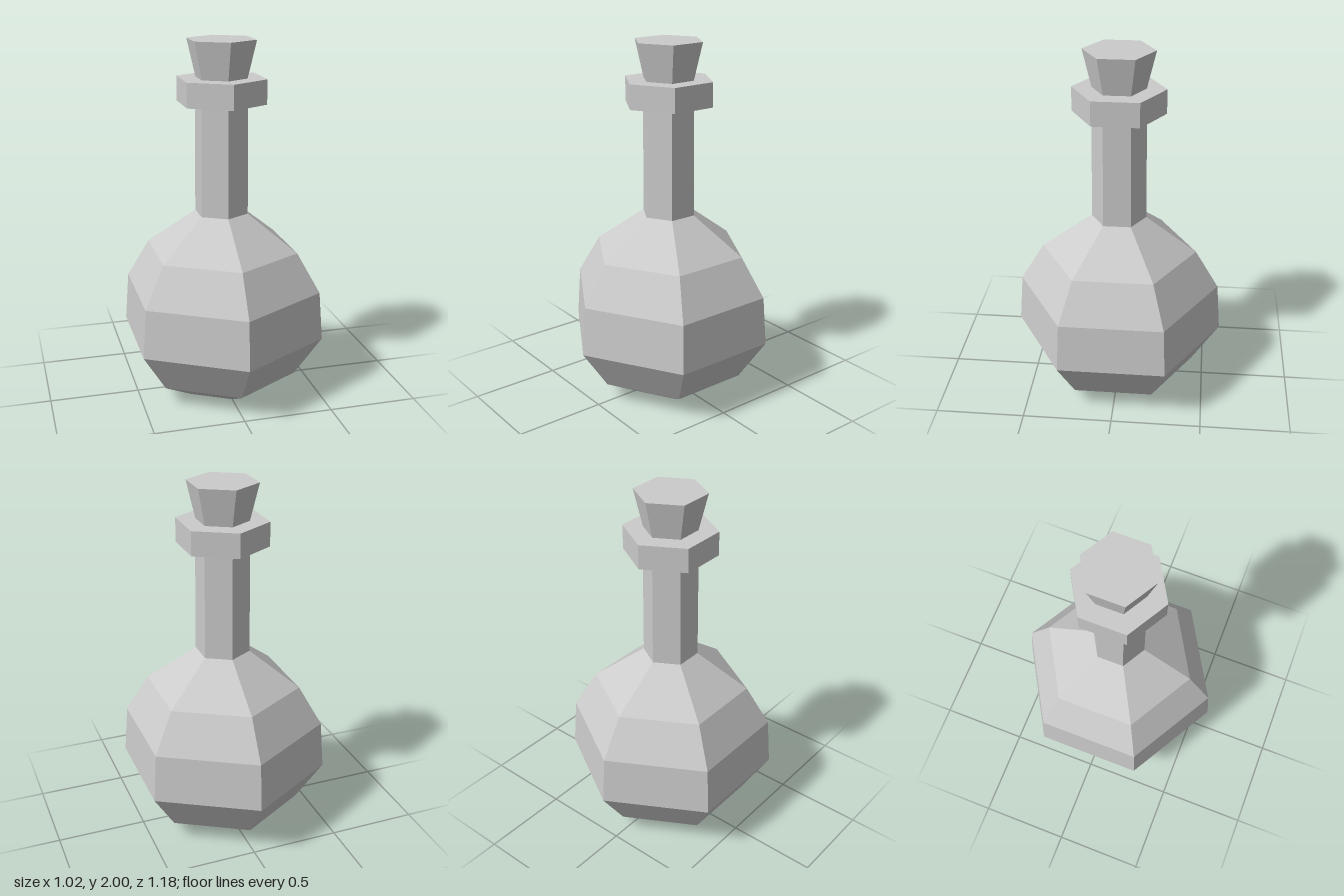
import * as THREE from 'three';

const SIDES = 6;

export function createModel() {
  const group = new THREE.Group();
  const material = new THREE.MeshStandardMaterial({ color: 0xcccccc, flatShading: true });

  const add = (name, geometry, y = 0) => {
    const mesh = new THREE.Mesh(geometry, material);
    mesh.name = name;
    mesh.position.y = y;
    group.add(mesh);
  };
  // Hexagonal prism or taper between two heights
  const prism = (name, rBottom, rTop, y0, y1) =>
    add(name, new THREE.CylinderGeometry(rTop, rBottom, y1 - y0, SIDES), (y0 + y1) / 2);

  // Round belly with closed base, running up into the neck
  const profile = [
    [0, 0], [0.245, 0], [0.436, 0.107], [0.59, 0.34], [0.568, 0.615],
    [0.436, 0.837], [0.152, 1.045], [0.148, 1.66],
  ].map(([r, y]) => new THREE.Vector2(r, y));
  add('bottleBody', new THREE.LatheGeometry(profile, SIDES));

  // Lip around the mouth
  prism('collar', 0.253, 0.253, 1.66, 1.795);

  // Stopper widening upwards
  prism('stopper', 0.145, 0.194, 1.795, 2);

  return group;
}
